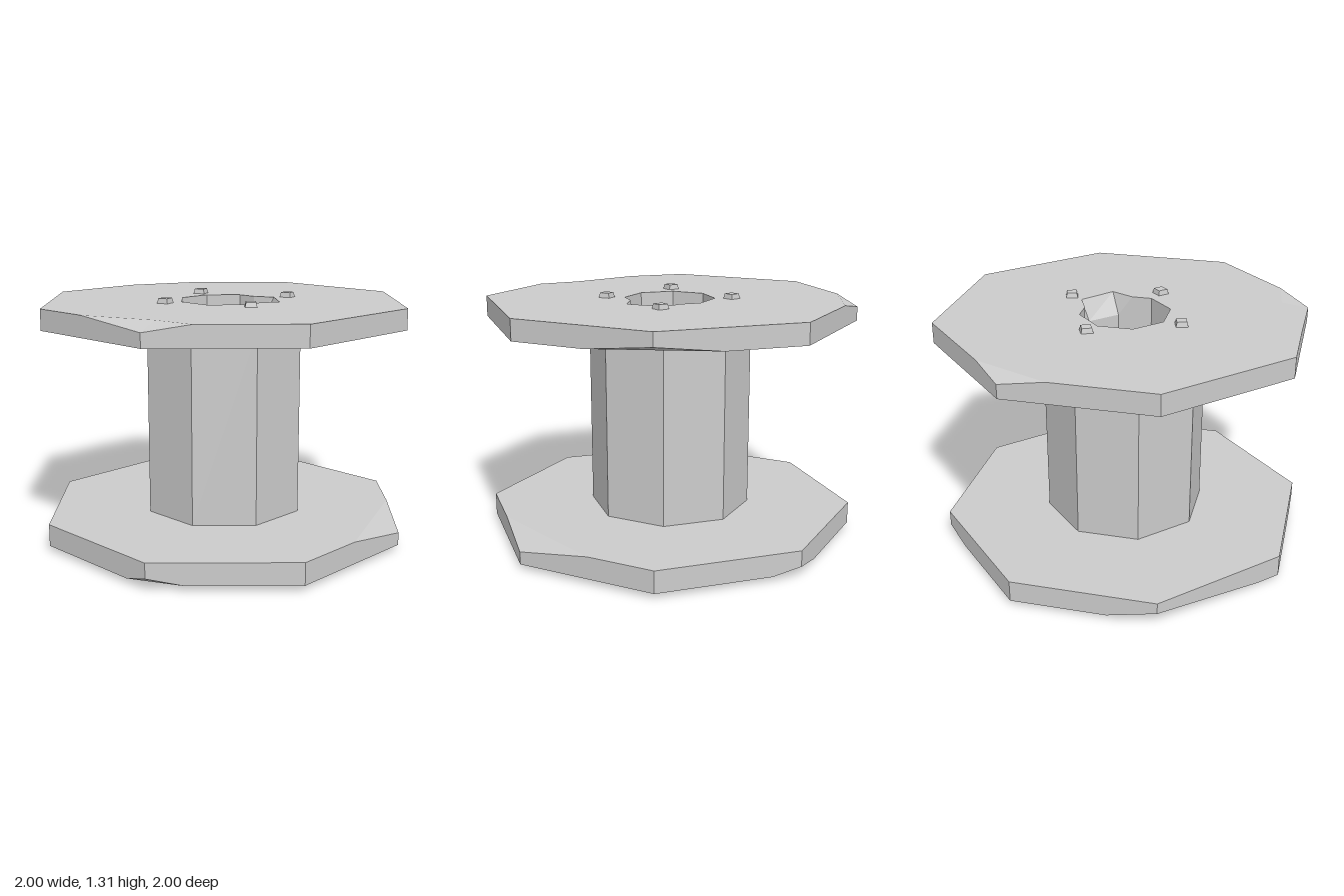
import * as THREE from 'three';

const material = new THREE.MeshStandardMaterial({ color: 0xcccccc, flatShading: true });
const P = (x, y, z) => new THREE.Vector3(x, y, z);
const corner = (i, r, y) => P(r * Math.cos(i * Math.PI / 4), y, r * Math.sin(i * Math.PI / 4));

// Adds a fan over a polygon, turned so each triangle faces along "out".
function fan(out, points, positions) {
  for (let i = 1; i < points.length - 1; i++) {
    let [a, b, c] = [points[0], points[i], points[i + 1]];
    const n = b.clone().sub(a).cross(c.clone().sub(a));
    if (n.length() < 1e-9) continue;
    if (n.dot(out) < 0) [b, c] = [c, b];
    for (const p of [a, b, c]) positions.push(p.x, p.y, p.z);
  }
}

function meshFrom(name, positions) {
  const g = new THREE.BufferGeometry();
  g.setAttribute('position', new THREE.Float32BufferAttribute(positions, 3));
  g.computeVertexNormals();
  const m = new THREE.Mesh(g, material);
  m.name = name;
  return m;
}

// Octagonal plate with broken corners. A chip is { depth, prev, next, inner }:
// how far the corner is worn off and how far along both edges the break runs.
function plate(name, y0, y1, topChips, bottomChips, topHole, bottomHole) {
  const pos = [];
  const sides = [
    { y: y1, dir: 1, chips: topChips, hole: topHole },
    { y: y0, dir: -1, chips: bottomChips, hole: bottomHole },
  ].map(({ y, dir, chips, hole }) => {
    const out = P(0, dir, 0), outline = [], edges = [];
    for (let i = 0; i < 8; i++) {
      const v = corner(i, 1, y), c = chips[i];
      if (!c) {
        outline.push(v);
        edges.push({ v, prev: v, next: v });
        continue;
      }
      const prev = v.clone().lerp(corner(i + 7, 1, y), c.prev);
      const next = v.clone().lerp(corner(i + 1, 1, y), c.next);
      const low = P(v.x, y - dir * c.depth, v.z);
      const rim = c.inner ? [prev, P(c.inner[0], y, c.inner[1]), next] : [prev, next];
      outline.push(...rim);
      fan(out, [low, ...rim], pos);
      edges.push({ v: low, prev, next });
    }
    // Flat face around the hole
    const holePoints = hole.map(p => P(p.x, y, p.z));
    const flat = list => list.map(p => new THREE.Vector2(p.x, p.z));
    const all = [...outline, ...holePoints];
    for (const f of THREE.ShapeUtils.triangulateShape(flat(outline), [flat(holePoints)])) {
      fan(out, f.map(k => all[k]), pos);
    }
    return edges;
  });
  // Rim walls
  const [t, b] = sides;
  for (let i = 0; i < 8; i++) {
    const j = (i + 1) % 8;
    fan(corner(i + 0.5, 1, 0),
      [b[i].v, t[i].v, t[i].next, t[j].prev, t[j].v, b[j].v, b[j].prev, b[i].next], pos);
  }
  return meshFrom(name, pos);
}

// Small tapered bolt heads, given as [x, z, turn]
function bolts(name, list, y, dir) {
  const group = new THREE.Group();
  group.name = name;
  for (const [x, z, turn] of list) {
    const g = new THREE.CylinderGeometry(0.037, 0.046, 0.03, 4);
    g.rotateY(Math.PI / 4 + turn);
    if (dir < 0) g.rotateX(Math.PI);
    g.translate(x, y + dir * 0.011, z);
    const bolt = new THREE.Mesh(g, material);
    bolt.name = 'bolt';
    group.add(bolt);
  }
  return group;
}

export function createModel() {
  const spool = new THREE.Group();
  spool.name = 'cableSpool';
  const R = 0.242, B0 = 0.027, B1 = 0.145, T0 = 1.175, T1 = 1.286;

  // Bore outline, and the same outline with a broken piece at the top
  const ring = [...Array(8).keys()].map(i => corner(i, R, 0));
  const edgeA = ring[0].clone().lerp(ring[1], 0.42);
  const edgeB = ring[6].clone().lerp(ring[7], 0.58);
  const boreLow = [ring[0], edgeA, ...ring.slice(1, 7), edgeB, ring[7]];
  const boreTop = boreLow.slice();
  boreTop[0] = P(0.31, 0, -0.02);
  boreTop[9] = P(0.215, 0, -0.205);

  // Flanges
  spool.add(plate('topFlange', T0, T1,
    {
      2: { depth: 0.038, prev: 0.31, next: 0.57, inner: [0, 0.85] },
      5: { depth: 0.037, prev: 0.31, next: 0.29 },
    },
    { 7: { depth: 0.04, prev: 0.45, next: 0.48 } },
    boreTop, ring));
  spool.add(plate('bottomFlange', B0, B1,
    { 0: { depth: 0.05, prev: 0.52, next: 0.5 } },
    {
      2: { depth: 0.037, prev: 0.25, next: 0.18 },
      4: { depth: 0.057, prev: 0.82, next: 0.34 },
      6: { depth: 0.033, prev: 0.25, next: 0.2 },
    },
    ring, ring));

  // Barrel
  const barrel = new THREE.Mesh(
    new THREE.CylinderGeometry(0.437, 0.437, T0 - B1, 8, 1, true), material);
  barrel.position.y = (T0 + B1) / 2;
  barrel.name = 'barrel';
  spool.add(barrel);

  // Bore walls, facing the axis
  const pos = [];
  const at = (p, y) => P(p.x, y, p.z);
  const n = boreLow.length;
  for (let i = 0; i < n; i++) {
    const j = (i + 1) % n, a = boreLow[i], b = boreLow[j];
    const inward = a.clone().add(b).negate();
    fan(inward, [at(a, B0), at(a, T0), at(b, T0), at(b, B0)], pos);
    fan(inward, [at(a, T0), at(boreTop[i], T1), at(boreTop[j], T1), at(b, T0)], pos);
  }
  spool.add(meshFrom('bore', pos));

  // Bolt heads
  spool.add(bolts('topBolts',
    [[-0.235, -0.235, 0.03], [0.277, -0.25, -0.1], [-0.228, 0.253, -0.1], [0.245, 0.235, 0.4]], T1, 1));
  spool.add(bolts('bottomBolts',
    [[-0.235, -0.24, 0.1], [0.23, -0.24, 0.05], [-0.27, 0.245, -0.15], [0.23, 0.245, 0.1]], B0, -1));
  return spool;
}
